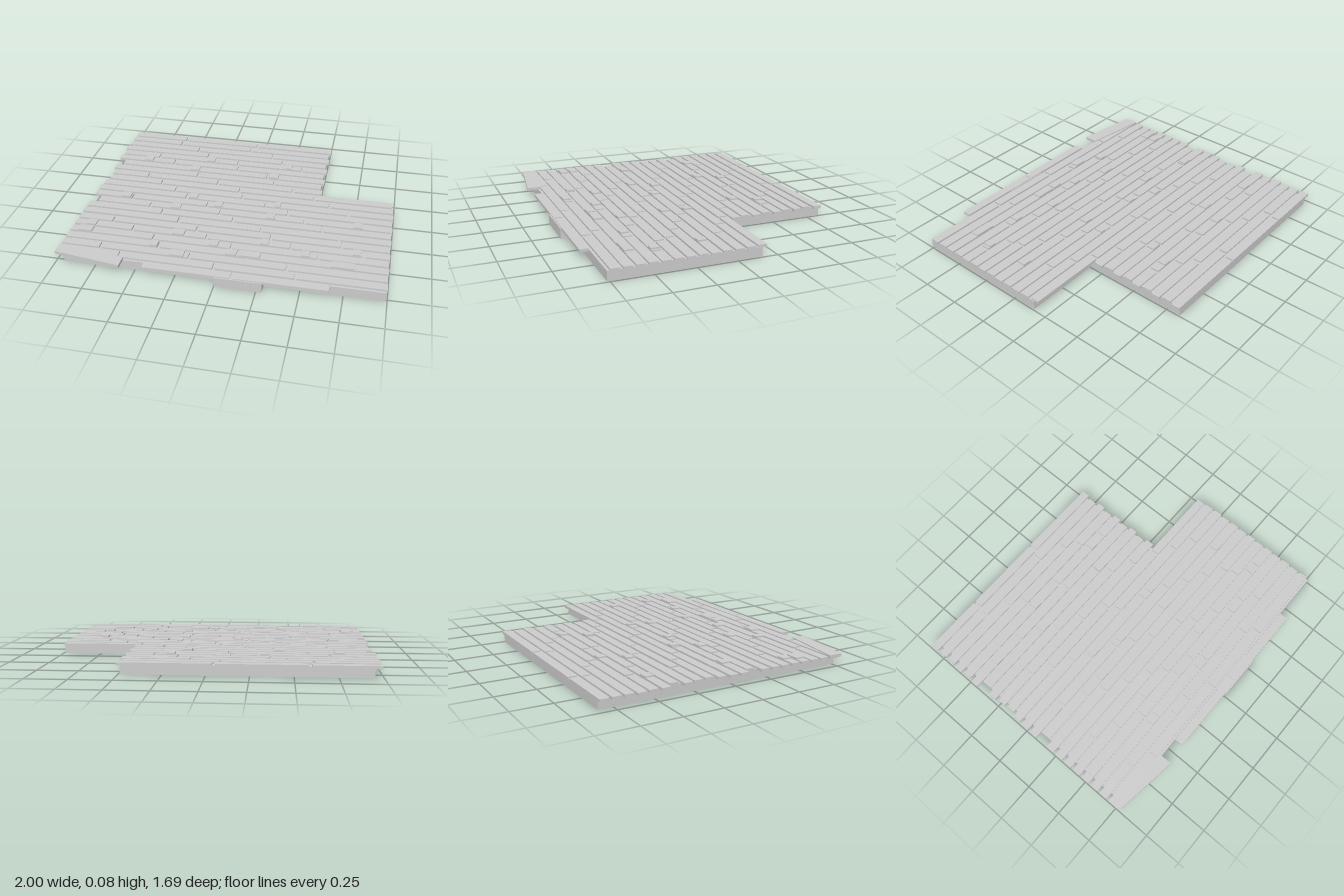
import * as THREE from 'three';

const material = new THREE.MeshStandardMaterial({ color: 0xcccccc, flatShading: true });

function addBox(parent, name, x0, x1, y0, y1, z0, z1) {
  const mesh = new THREE.Mesh(new THREE.BoxGeometry(x1 - x0, y1 - y0, z1 - z0), material);
  mesh.position.set((x0 + x1) / 2, (y0 + y1) / 2, (z0 + z1) / 2);
  mesh.name = name;
  parent.add(mesh);
  return mesh;
}

// Horizontal plate from an outline of [x, z] points
function addPlate(parent, name, outline, y0, y1) {
  const shape = new THREE.Shape(outline.map(([x, z]) => new THREE.Vector2(x, -z)));
  const geometry = new THREE.ExtrudeGeometry(shape, { depth: y1 - y0, bevelEnabled: false });
  geometry.rotateX(-Math.PI / 2);
  const mesh = new THREE.Mesh(geometry, material);
  mesh.position.y = y0;
  mesh.name = name;
  parent.add(mesh);
}

function seeded(seed) {
  return () => {
    seed = (seed * 16807) % 2147483647;
    return seed / 2147483647;
  };
}

export function createModel() {
  const model = new THREE.Group();
  model.name = 'plankFloor';
  const random = seeded(4217);

  const pitch = 0.0733, width = 0.055, bottom = 0.053, top = 0.07;
  const rowZ = (row) => -0.818 + row * pitch;

  // L-shaped base with a step block at the front
  addPlate(model, 'base', [
    [-0.95, 0.765], [0.99, 0.765], [0.99, -0.155],
    [0.49, -0.155], [0.49, -0.84], [-0.95, -0.84],
  ], 0, 0.06);
  addBox(model, 'frontBlock', 0, 0.285, 0, 0.066, 0.76, 0.83);

  // Rows of planks with ragged ends and staggered joints
  const planks = new THREE.Group();
  planks.name = 'planks';
  model.add(planks);
  const leftEnds = [-0.99, -0.99, -0.99, -1, -0.99, -1, -0.95, -0.99, -0.975, -0.97, -0.99,
    -1, -1, -0.95, -1, -1, -1, -1, -1, -1, -1, -1, -0.44];
  const joint = 0.016;
  leftEnds.forEach((left, row) => {
    const z = rowZ(row);
    let right = row < 9 ? 0.495 + 0.015 * ((row + 1) % 2) : 0.993 + 0.004 * (row % 2);
    if (row === 9) right = 0.985;
    if (row === 22) right = 0.67;
    let x = left;
    let length = row === 0 ? 0.39 : 0.22 + 0.12 * (row % 4) + 0.08 * random();
    while (x < right - 0.01) {
      let end = x + length;
      if (right - end < 0.15) end = right;
      const lift = 0.002 * random();
      addBox(planks, 'plank', x, end, bottom, top + lift, z - width / 2, z + width / 2);
      x = end + joint;
      length = 0.42 + 0.16 * random();
    }
  });

  // Overlapping plank ends standing slightly proud: [row, x start, x end]
  const raised = new THREE.Group();
  raised.name = 'raisedEnds';
  model.add(raised);
  [
    [4, -0.36, -0.305], [4, 0.21, 0.26], [5, -0.81, -0.75], [6, -0.45, -0.385], [6, 0.12, 0.185],
    [11, -0.36, -0.305], [11, 0.225, 0.26], [12, -0.81, -0.75], [12, -0.17, -0.12],
    [13, -0.45, -0.385], [13, 0.19, 0.245], [13, 0.755, 0.81],
    [17, -0.92, -0.86], [17, -0.355, -0.28], [17, 0.205, 0.255], [17, 0.775, 0.82],
    [18, -0.1, -0.045], [18, 0.47, 0.52], [18, -0.95, -0.86],
    [19, -0.46, -0.41], [19, 0.02, 0.085], [19, 0.1, 0.23], [19, 0.66, 0.795], [20, -0.31, -0.225],
  ].forEach(([row, x0, x1]) => {
    const z = rowZ(row);
    addBox(raised, 'raisedEnd', x0, x1, 0.064, 0.08, z - width / 2, z + width / 2);
  });

  // Loose skewed board at the front left corner
  addPlate(model, 'looseBoard', [[-1, 0.78], [-0.575, 0.84], [-0.575, 0.75], [-1, 0.69]], 0.056, 0.076);

  return model;
}
